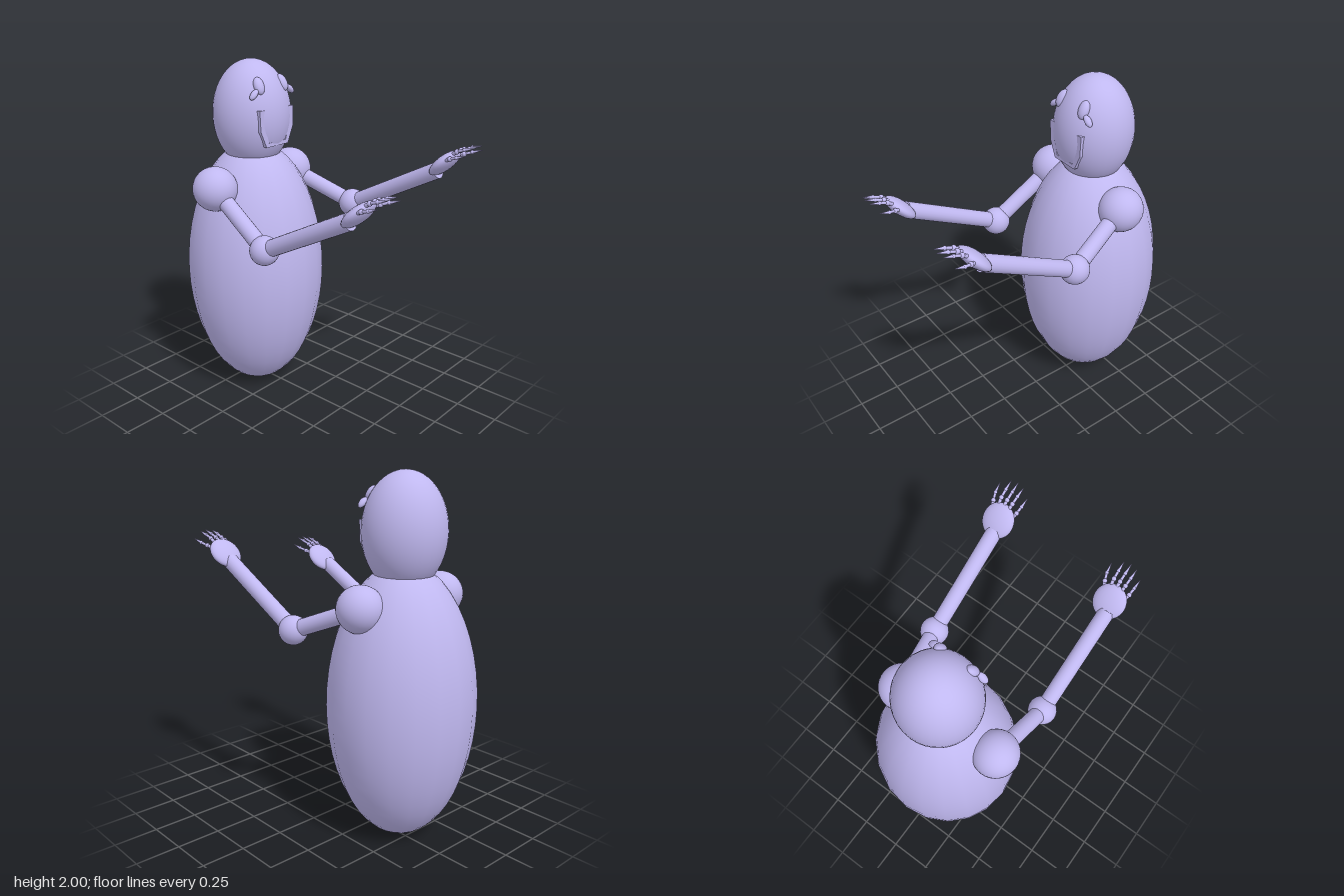
import * as THREE from 'three';

const material = new THREE.MeshStandardMaterial({ color: 0xc0b8f0 });
const V = (x, y, z) => new THREE.Vector3(x, y, z);
const UP = V(0, 1, 0);
const MID_X = -0.032, MID_Z = -0.415; // axis of the body and head

function add(parent, name, geometry, position) {
  const mesh = new THREE.Mesh(geometry, material);
  mesh.name = name;
  mesh.position.copy(position);
  parent.add(mesh);
  return mesh;
}

// Sphere stretched to three radii
function ellipsoid(parent, name, center, rx, ry, rz, segments = 24, rings = 16) {
  return add(parent, name, new THREE.SphereGeometry(1, segments, rings).scale(rx, ry, rz), center);
}

// Round bar between two points, optionally tapered
function limb(parent, name, a, b, ra, rb = ra, sides = 20) {
  const dir = b.clone().sub(a);
  const mesh = add(parent, name, new THREE.CylinderGeometry(rb, ra, dir.length(), sides),
    a.clone().add(b).multiplyScalar(0.5));
  mesh.quaternion.setFromUnitVectors(UP, dir.normalize());
  return mesh;
}

// Finger offsets from the palm centre: base, knuckle, middle joint, tip
const FINGERS = [
  [[-0.062, 0.03, 0.035], [-0.070, 0.046, 0.07], [-0.073, 0.06, 0.11], [-0.075, 0.076, 0.16]],
  [[-0.028, 0.055, 0.05], [-0.030, 0.080, 0.085], [-0.031, 0.097, 0.13], [-0.032, 0.112, 0.183]],
  [[0.004, 0.06, 0.05], [0.006, 0.082, 0.088], [0.007, 0.099, 0.135], [0.008, 0.117, 0.192]],
  [[0.036, 0.055, 0.05], [0.042, 0.080, 0.085], [0.045, 0.097, 0.13], [0.048, 0.112, 0.183]],
  [[0.062, 0.03, 0.03], [0.080, 0.044, 0.065], [0.095, 0.058, 0.105], [0.104, 0.076, 0.16]],
];

function makeHand(center) {
  const hand = new THREE.Group();
  hand.name = 'hand';
  hand.position.copy(center);
  const palm = ellipsoid(hand, 'palm', V(0, 0, 0), 0.093, 0.1, 0.038);
  palm.rotation.x = Math.PI / 4;
  FINGERS.forEach((points) => {
    const finger = new THREE.Group();
    finger.name = 'finger';
    const [base, knuckle, joint, tip] = points.map((p) => V(...p));
    limb(finger, 'lowerFinger', base, knuckle, 0.01, 0.01, 10);
    ellipsoid(finger, 'knuckle', knuckle, 0.014, 0.014, 0.014, 12, 8);
    limb(finger, 'middleFinger', knuckle, joint, 0.008, 0.008, 10);
    ellipsoid(finger, 'fingerJoint', joint, 0.011, 0.011, 0.011, 12, 8);
    limb(finger, 'fingertip', joint, tip, 0.009, 0.002, 10);
    hand.add(finger);
  });
  return hand;
}

function makeArm(name, shoulder, elbow, wrist, palm) {
  const arm = new THREE.Group();
  arm.name = name;
  ellipsoid(arm, 'shoulder', shoulder, 0.125, 0.125, 0.128, 32, 20);
  limb(arm, 'upperArm', shoulder, elbow, 0.046);
  ellipsoid(arm, 'elbow', elbow, 0.081, 0.081, 0.081);
  limb(arm, 'forearm', elbow, wrist, 0.046);
  arm.add(makeHand(palm));
  return arm;
}

// Angular U-shaped bar set into the front of the head
function makeMouth(parent) {
  const outer = [[-0.132, 1.746], [-0.127, 1.63], [-0.085, 1.537]];
  const inner = [[-0.092, 1.746], [-0.090, 1.64], [-0.066, 1.56]];
  const mirrored = (pts) => pts.map(([x, y]) => [-x, y]).reverse();
  const outline = [...outer, ...mirrored(outer), ...inner.map(([x, y]) => [-x, y]), ...[...inner].reverse()];
  const shape = new THREE.Shape(outline.map(([x, y]) => new THREE.Vector2(x, y)));
  add(parent, 'mouth', new THREE.ExtrudeGeometry(shape, { depth: 0.08, bevelEnabled: false }),
    V(MID_X, 0, -0.296));
}

export function createModel() {
  const model = new THREE.Group();
  model.name = 'figure';

  // Egg-shaped body and head
  ellipsoid(model, 'body', V(MID_X, 0.767, MID_Z), 0.408, 0.765, 0.408, 20, 24);
  const head = new THREE.Group();
  head.name = 'headGroup';
  model.add(head);
  ellipsoid(head, 'head', V(MID_X, 1.69, MID_Z), 0.225, 0.31, 0.225, 36, 24);

  // Eyes with a small bead at each outer corner
  for (const side of [-1, 1]) {
    const eye = ellipsoid(head, 'eye', V(MID_X + side * 0.09, 1.873, -0.262), 0.032, 0.05, 0.026);
    eye.rotation.set(-0.5, 0, side * 0.12);
    const bead = ellipsoid(head, 'eyeCorner', V(MID_X + side * 0.14, 1.833, -0.25), 0.035, 0.017, 0.02);
    bead.rotation.z = -side * 0.75;
  }
  makeMouth(head);

  // Arms stretched forward, the left one raised higher
  model.add(makeArm('rightArm', V(-0.355, 1.32, -0.39), V(-0.382, 1.066, 0.015),
    V(-0.382, 1.365, 0.59), V(-0.366, 1.403, 0.627)));
  model.add(makeArm('leftArm', V(0.253, 1.32, -0.39), V(0.363, 1.157, 0.015),
    V(0.363, 1.46, 0.59), V(0.37, 1.505, 0.627)));
  return model;
}
